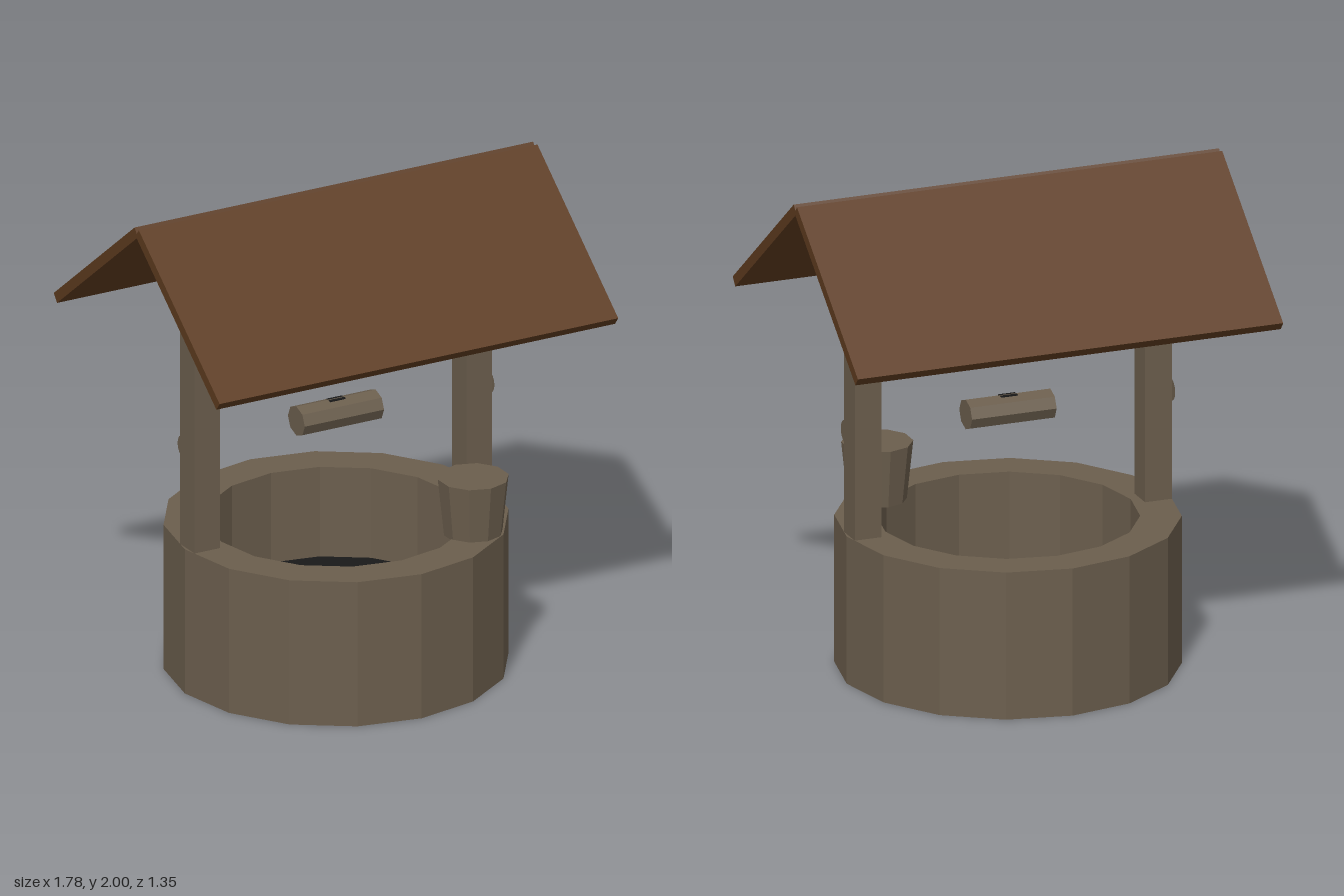
import * as THREE from 'three';

export function createModel() {
  const model = new THREE.Group();
  model.name = 'well';
  const mat = (name, color) => new THREE.MeshStandardMaterial({
    name, color, flatShading: true, side: THREE.DoubleSide,
  });
  const weathered = mat('weatheredBrown', 0x6b5e4d);
  const roofWood = mat('roofBrown', 0x5c3a1e);
  const dark = mat('darkInterior', 0x1a1a1a);

  const add = (name, geometry, material, x = 0, y = 0, z = 0) => {
    const mesh = new THREE.Mesh(geometry, material);
    mesh.name = name;
    mesh.position.set(x, y, z);
    model.add(mesh);
    return mesh;
  };
  const lathe = (points) => new THREE.LatheGeometry(points.map(([r, y]) => new THREE.Vector2(r, y)), 16);

  // Sixteen-sided wall: outer face, flat rim and inner face, open underneath
  add('wall', lathe([[0.677, 0], [0.677, 0.607], [0.515, 0.607], [0.515, 0.23]]), weathered);

  // Dark floor of the shaft with a short skirt below it
  add('shaftFloor', lathe([[0, 0.23], [0.515, 0.23], [0.515, 0.172]]), dark);

  for (const s of [-1, 1]) {
    const side = s > 0 ? 'left' : 'right';
    // Post with its dark foot inside the wall and a thin axle cap on the outside
    add(side + 'Post', new THREE.BoxGeometry(0.113, 0.97, 0.113), weathered, s * 0.609, 1.088, 0);
    add(side + 'PostFoot', new THREE.BoxGeometry(0.113, 0.603, 0.113), dark, s * 0.609, 0.3015, 0);
    const cap = add(side + 'AxleCap', new THREE.CircleGeometry(0.047, 16), weathered, s * 0.683, 1.04, 0);
    cap.rotation.y = s * Math.PI / 2;

    // Sloping roof boards, leaving a narrow notch along the ridge
    const board = add(s > 0 ? 'frontRoof' : 'backRoof',
      new THREE.BoxGeometry(1.785, 0.042, 0.813), roofWood, 0, 1.7317, s * 0.323);
    board.rotation.x = s * 0.668;
  }

  // Eight-sided winding roller with a small fitting on top
  const roller = add('roller', new THREE.CylinderGeometry(0.061, 0.061, 0.355, 8), weathered, 0, 1.046, 0);
  roller.rotation.z = Math.PI / 2;
  roller.scale.z = 1.1;
  add('rollerFitting', new THREE.BoxGeometry(0.07, 0.008, 0.03), dark, 0, 1.102, 0);

  // Tapered bucket standing on the rim
  add('bucket', new THREE.CylinderGeometry(0.141, 0.116, 0.237, 10), weathered, 0.391, 0.7185, 0.394);

  return model;
}
